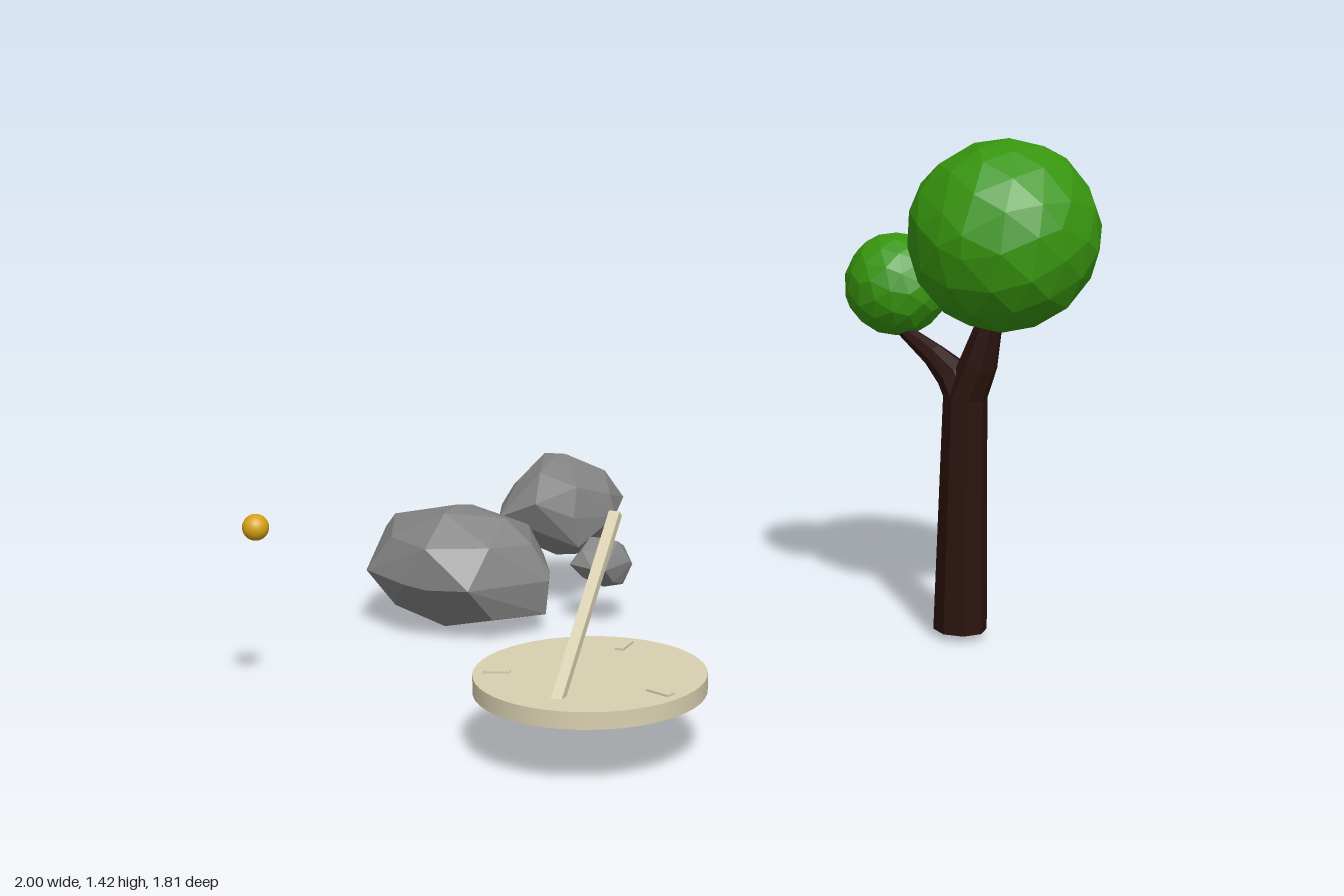
import * as THREE from 'three';
import { mergeVertices } from 'three/addons/utils/BufferGeometryUtils.js';
import { ConvexGeometry } from 'three/addons/geometries/ConvexGeometry.js';

const paint = (color, flatShading = true) => new THREE.MeshStandardMaterial({ color, flatShading });
const V = (x, y, z) => new THREE.Vector3(x, y, z);

function add(parent, name, geometry, material, x = 0, y = 0, z = 0) {
  const mesh = new THREE.Mesh(geometry, material);
  mesh.name = name;
  mesh.position.set(x, y, z);
  parent.add(mesh);
  return mesh;
}

// Faceted boulder: hull of three outlines plus eight shoulder points
function rockGeometry([cx, cy, cz], [hx, hy, hz], front, side, top) {
  const pts = [
    ...front.map(([x, y]) => V(x, y, cz)),
    ...side.map(([z, y]) => V(cx, y, z)),
    ...top.map(([x, z]) => V(x, cy, z)),
  ];
  for (const i of [-1, 1]) for (const j of [-1, 1]) for (const k of [-1, 1]) {
    const s = 0.55 + 0.04 * ((i + 2 * j + 3 * k) % 3) / 2;
    pts.push(V(cx + i * hx * s, cy + j * hy * s, cz + k * hz * s));
  }
  return new ConvexGeometry(pts);
}

// Eight-sided tapering limb through [x, y, z, radius] stations
function limbGeometry(stations, sides = 8) {
  const pos = [], index = [], up = V(0, 1, 0);
  const centres = stations.map(([x, y, z]) => V(x, y, z));
  const last = stations.length - 1;
  stations.forEach(([, , , r], i) => {
    const dir = centres[Math.min(i + 1, last)].clone().sub(centres[Math.max(i - 1, 0)]).normalize();
    if (i === 0) dir.copy(up);
    const q = new THREE.Quaternion().setFromUnitVectors(up, dir);
    for (let j = 0; j < sides; j++) {
      const a = (j + 0.5) / sides * Math.PI * 2;
      const p = V(Math.cos(a) * r, 0, Math.sin(a) * r).applyQuaternion(q).add(centres[i]);
      pos.push(p.x, p.y, p.z);
      if (i < last) {
        const n = (j + 1) % sides, b = i * sides, t = b + sides;
        index.push(b + j, t + j, b + n, b + n, t + j, t + n);
      }
    }
  });
  for (let j = 1; j < sides - 1; j++) {
    index.push(0, j, j + 1);
    index.push(last * sides, last * sides + j + 1, last * sides + j);
  }
  const g = new THREE.BufferGeometry();
  g.setAttribute('position', new THREE.Float32BufferAttribute(pos, 3));
  g.setIndex(index);
  g.computeVertexNormals();
  return g;
}

// Ball of leaves with slightly uneven facets
function foliageGeometry(radius, detail, seed) {
  let g = new THREE.IcosahedronGeometry(radius, detail);
  g.deleteAttribute('normal');
  g.deleteAttribute('uv');
  g = mergeVertices(g, 1e-4);
  const rand = () => (seed = (seed * 16807) % 2147483647) / 2147483647 - 0.5;
  const p = g.attributes.position, v = V(0, 0, 0);
  for (let i = 0; i < p.count; i++) {
    v.fromBufferAttribute(p, i);
    v.add(V(rand(), rand(), rand()).multiplyScalar(radius * 0.12)).setLength(radius * (1 + rand() * 0.02));
    p.setXYZ(i, v.x, v.y, v.z);
  }
  g.rotateX(0.4);
  g.rotateY(seed % 6);
  g.computeVertexNormals();
  return g;
}

export function createModel() {
  const model = new THREE.Group();
  model.name = 'sundialGarden';
  const stone = paint(0x858585), bark = paint(0x2a120e), leaf = paint(0x38960f);
  const sand = paint(0xd9d0b0, false), gold = paint(0xd6a313, false);

  // Rocks
  const rocks = new THREE.Group();
  rocks.name = 'rocks';
  model.add(rocks);
  add(rocks, 'largeRock', rockGeometry([-0.73, 0.18, -0.24], [0.27, 0.18, 0.245],
    [[-1, 0.15], [-0.97, 0.27], [-0.94, 0.31], [-0.74, 0.357], [-0.59, 0.33], [-0.51, 0.26],
      [-0.46, 0.16], [-0.47, 0.06], [-0.75, 0.005], [-0.97, 0.06]],
    [[0, 0.29], [-0.13, 0.36], [-0.31, 0.34], [-0.48, 0.16], [-0.475, 0.1], [-0.27, 0.005], [-0.12, 0.03], [0, 0.17]],
    [[-1, -0.22], [-0.98, -0.36], [-0.79, -0.485], [-0.56, -0.43], [-0.465, -0.26],
      [-0.6, 0], [-0.8, 0], [-0.96, -0.09]]), stone);
  add(rocks, 'mediumRock', rockGeometry([-0.545, 0.3, -0.54], [0.165, 0.155, 0.19],
    [[-0.7, 0.345], [-0.6, 0.45], [-0.535, 0.453], [-0.395, 0.345], [-0.38, 0.28], [-0.455, 0.16], [-0.62, 0.16]],
    [[-0.345, 0.35], [-0.38, 0.435], [-0.485, 0.455], [-0.56, 0.44], [-0.725, 0.32], [-0.61, 0.15], [-0.49, 0.16]],
    [[-0.71, -0.475], [-0.655, -0.67], [-0.57, -0.727], [-0.41, -0.68], [-0.385, -0.545],
      [-0.455, -0.41], [-0.66, -0.345]]), stone);
  add(rocks, 'smallRock', rockGeometry([-0.35, 0.19, -0.38], [0.083, 0.073, 0.08],
    [[-0.43, 0.19], [-0.39, 0.26], [-0.305, 0.255], [-0.268, 0.2], [-0.29, 0.13], [-0.35, 0.115]],
    [[-0.295, 0.19], [-0.38, 0.26], [-0.46, 0.19], [-0.38, 0.12]],
    [[-0.435, -0.41], [-0.39, -0.455], [-0.31, -0.46], [-0.265, -0.39], [-0.31, -0.295], [-0.43, -0.32]]), stone);

  // Tree
  const tree = new THREE.Group();
  tree.name = 'tree';
  model.add(tree);
  add(tree, 'trunk', limbGeometry([[0.635, 0.025, -0.645, 0.076], [0.633, 0.7, -0.645, 0.062],
    [0.67, 0.8, -0.64, 0.054], [0.698, 0.91, -0.632, 0.038], [0.71, 1, -0.635, 0.03]]), bark);
  add(tree, 'branch', limbGeometry([[0.64, 0.67, -0.645, 0.055], [0.595, 0.76, -0.655, 0.05],
    [0.53, 0.805, -0.68, 0.034], [0.43, 0.86, -0.72, 0.02], [0.4, 0.91, -0.74, 0.015]]), bark);
  add(tree, 'largeFoliage', foliageGeometry(0.267, 2, 11), leaf, 0.73, 1.163, -0.645);
  add(tree, 'smallFoliage', foliageGeometry(0.148, 2, 47), leaf, 0.395, 0.983, -0.757);

  // Sundial: disc, slanted pointer and plain hour marks
  const sundial = new THREE.Group();
  sundial.name = 'sundial';
  sundial.position.set(0.024, 0.17, 0.61);
  model.add(sundial);
  add(sundial, 'dialPlate', new THREE.CylinderGeometry(0.295, 0.295, 0.045, 48), sand, 0, 0.0225, 0);
  const pointer = add(sundial, 'pointer', new THREE.BoxGeometry(0.029, 0.54, 0.022), sand, 0, 0.224, 0.019);
  pointer.rotation.x = -Math.PI / 4;
  for (const [x, z] of [[-0.22, 0.08], [0, -0.225], [0.22, 0.08]]) {
    const mark = add(sundial, 'hourMark', new THREE.BoxGeometry(0.025, 0.006, 0.07), sand, x, 0.048, z);
    mark.rotation.y = Math.atan2(x, z);
  }

  // Floating sun
  add(model, 'sunBall', new THREE.SphereGeometry(0.035, 24, 16), gold, -0.914, 0.497, 0.612);
  return model;
}
